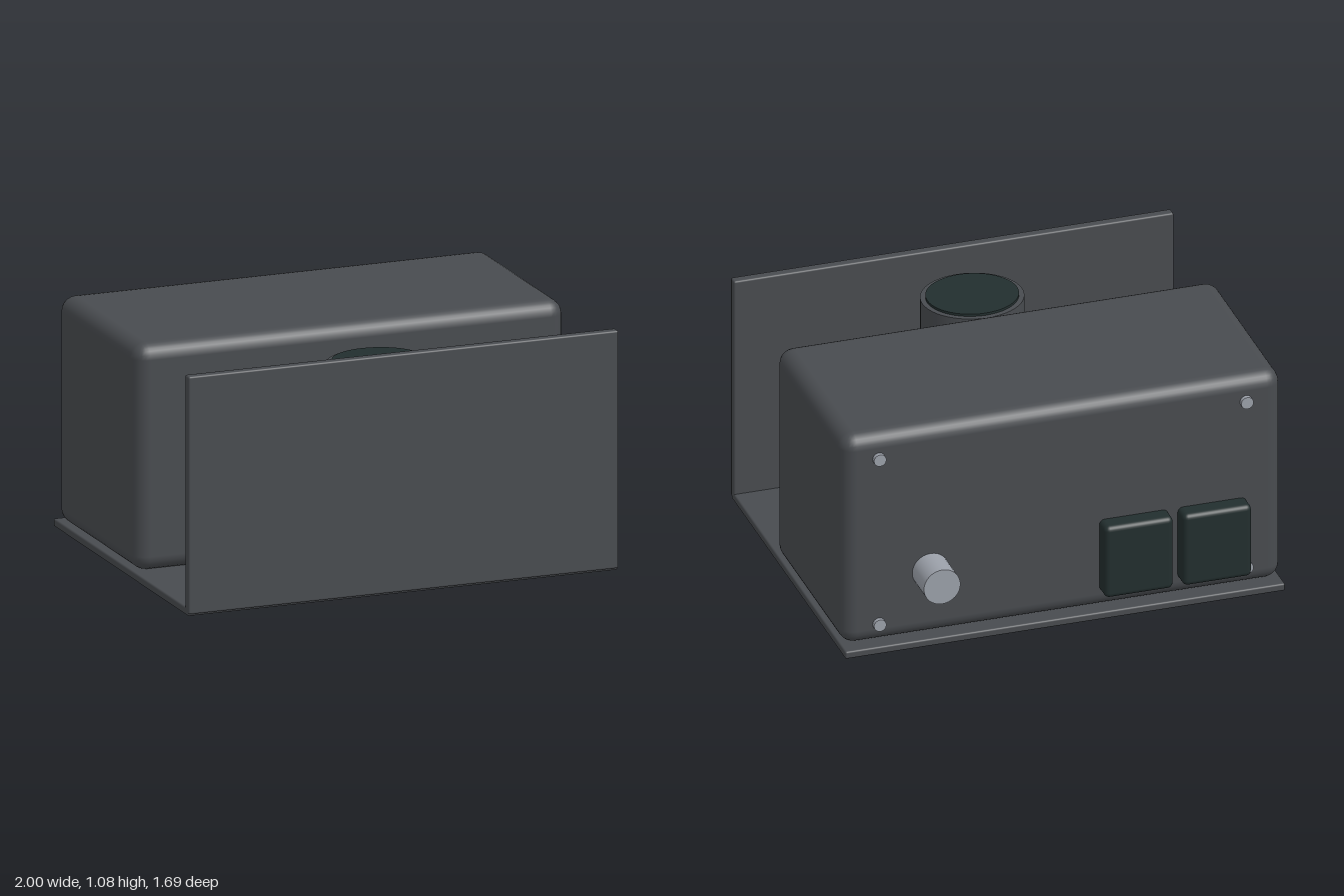
import * as THREE from 'three';
import { RoundedBoxGeometry } from 'three/addons/geometries/RoundedBoxGeometry.js';

export function createModel() {
  const model = new THREE.Group();
  const paint = (name, color) => {
    const m = new THREE.MeshStandardMaterial({ color });
    m.name = name;
    return m;
  };
  const grey = paint('charcoal grey', 0x484b4f);
  const dark = paint('dark green black', 0x222e2e);
  const steel = paint('steel', 0x9ba0a9);

  const add = (name, geometry, material, x, y, z) => {
    const mesh = new THREE.Mesh(geometry, material);
    mesh.name = name;
    mesh.position.set(x, y, z);
    model.add(mesh);
    return mesh;
  };

  // Rounded box given by its extents on each axis
  const block = (name, material, [x0, x1], [y0, y1], [z0, z1], radius, segments) =>
    add(name, new RoundedBoxGeometry(x1 - x0, y1 - y0, z1 - z0, segments, radius), material,
      (x0 + x1) / 2, (y0 + y1) / 2, (z0 + z1) / 2);

  // Chassis: base plate, front panel and main housing
  block('basePlate', grey, [-1, 1], [0, 0.035], [-0.725, 0.835], 0.008, 2);
  block('frontPanel', grey, [-1, 1], [0.01, 1.075], [0.8, 0.845], 0.008, 2);
  block('housing', grey, [-1, 1], [0.035, 1.052], [-0.685, 0.235], 0.068, 3);

  // Slightly oval canister with a dark lid
  const canister = add('canister', new THREE.CylinderGeometry(1, 1, 0.805, 48), grey, 0, 0.5625, 0.55);
  canister.scale.set(0.227, 1, 0.211);
  const lid = add('canisterLid', new THREE.CylinderGeometry(1, 1, 0.012, 48), dark, 0, 0.97, 0.55);
  lid.scale.set(0.204, 1, 0.187);

  // Round fittings that stick out of the back of the housing
  const peg = (name, radius, x, y, zEnd) => {
    const length = -0.67 - zEnd;
    const geometry = new THREE.CylinderGeometry(radius, radius, length, 32).rotateX(Math.PI / 2);
    add(name, geometry, steel, x, y, zEnd + length / 2);
  };
  peg('shaft', 0.083, 0.6, 0.348, -0.845);
  for (const x of [-0.835, 0.835]) {
    for (const y of [0.127, 0.934]) peg('screw', 0.028, x, y, -0.705);
  }

  // Pair of dark connector blocks on the back
  for (const x of [-0.836, -0.48]) {
    block('connector', dark, [x, x + 0.312], [0.118, 0.466], [-0.767, -0.62], 0.024, 3);
  }

  return model;
}
